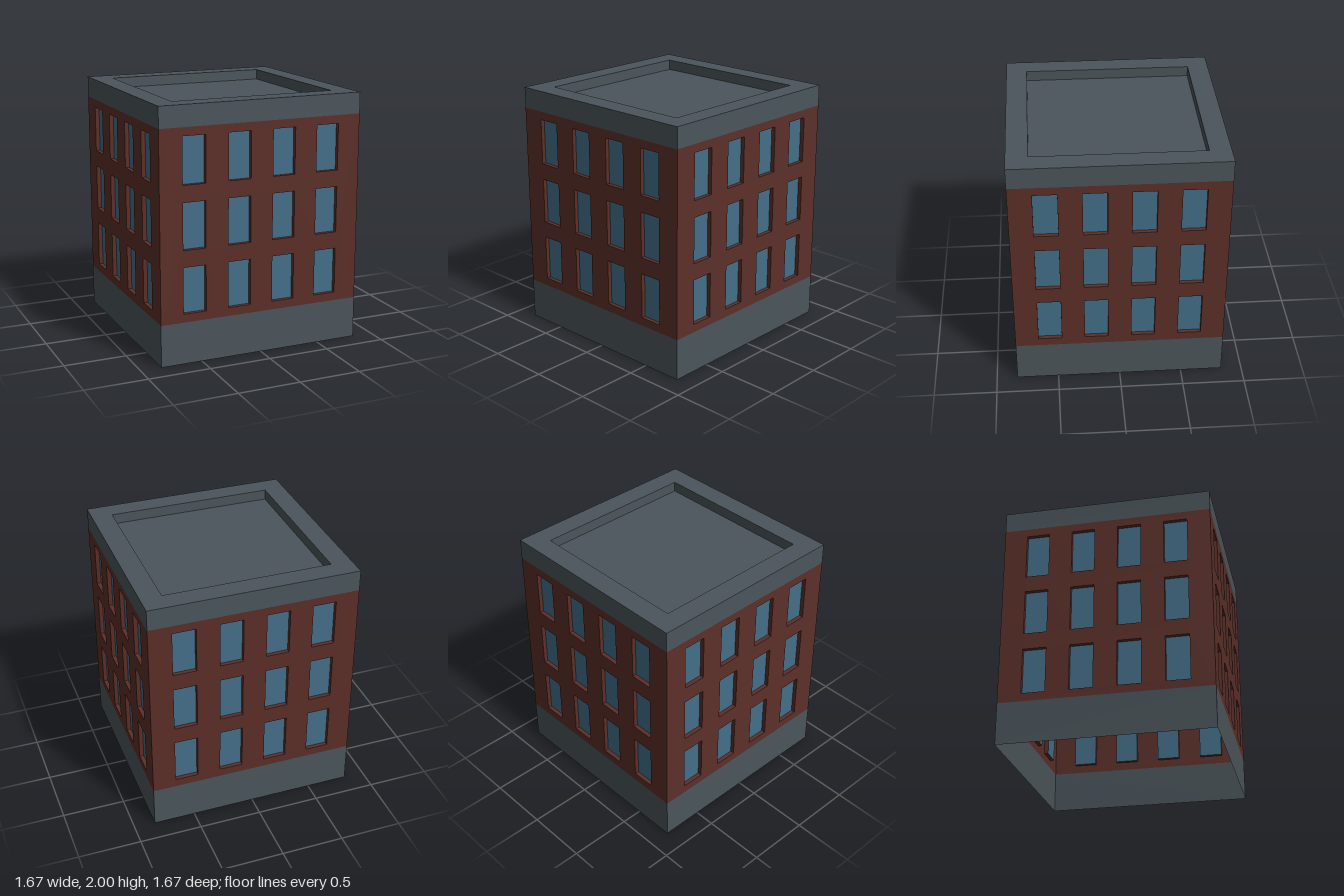
import * as THREE from 'three';
import { mergeGeometries } from 'three/addons/utils/BufferGeometryUtils.js';

const HALF = 5 / 6, BASE_TOP = 1 / 3, BAND_BOTTOM = 11 / 6, TOP = 2;
const RIM = 2 / 3, ROOF_Y = 23 / 12;              // sunken roof behind the parapet
const WIN_W = 5 / 27, WIN_H = 0.367, DEPTH = 1 / 30;
const Q = Math.PI / 2;

const material = (color) => new THREE.MeshStandardMaterial({ color, side: THREE.DoubleSide });

function plane(w, h, x, y, z, rx = 0, ry = 0) {
  return new THREE.PlaneGeometry(w, h).rotateX(rx).rotateY(ry).translate(x, y, z);
}

// Closed rectangle outline, for shapes and for holes
function rect(Type, x0, y0, x1, y1) {
  const r = new Type();
  r.moveTo(x0, y0).lineTo(x1, y0).lineTo(x1, y1).lineTo(x0, y1).closePath();
  return r;
}

function mesh(name, geometry, mat) {
  const m = new THREE.Mesh(geometry, mat);
  m.name = name;
  return m;
}

export function createModel() {
  const model = new THREE.Group();
  model.name = 'building';
  const stone = material(0x4b555b);
  const brick = material(0x5c2f28);
  const glass = material(0x446f8a);

  // One facade: brick wall with window openings, their reveals and recessed panes
  const wall = rect(THREE.Shape, -HALF, BASE_TOP, HALF, BAND_BOTTOM);
  const reveals = [], panes = [];
  const zMid = HALF - DEPTH / 2;
  for (let row = 0; row < 3; row++) {
    for (let col = 0; col < 4; col++) {
      const x = (col - 1.5) * 2 * WIN_W;
      const y = 0.4 + row * 0.5 + WIN_H / 2;
      const dx = WIN_W / 2, dy = WIN_H / 2;
      wall.holes.push(rect(THREE.Path, x - dx, y - dy, x + dx, y + dy));
      panes.push(plane(WIN_W, WIN_H, x, y, HALF - DEPTH));
      reveals.push(
        plane(DEPTH, WIN_H, x - dx, y, zMid, 0, Q),
        plane(DEPTH, WIN_H, x + dx, y, zMid, 0, -Q),
        plane(WIN_W, DEPTH, x, y - dy, zMid, -Q),
        plane(WIN_W, DEPTH, x, y + dy, zMid, Q)
      );
    }
  }
  const wallGeo = new THREE.ShapeGeometry(wall).translate(0, 0, HALF);
  const revealGeo = mergeGeometries(reveals);
  const paneGeo = mergeGeometries(panes);
  const baseGeo = plane(2 * HALF, BASE_TOP, 0, BASE_TOP / 2, HALF);
  const bandGeo = plane(2 * HALF, TOP - BAND_BOTTOM, 0, (TOP + BAND_BOTTOM) / 2, HALF);
  const lipGeo = plane(2 * RIM, TOP - ROOF_Y, 0, (TOP + ROOF_Y) / 2, -RIM);

  // Four identical sides
  ['front', 'left', 'back', 'right'].forEach((label, i) => {
    const side = new THREE.Group();
    side.name = label + 'Side';
    side.rotation.y = i * Q;
    side.add(
      mesh('brickWall', wallGeo, brick),
      mesh('windowReveals', revealGeo, brick),
      mesh('windowPanes', paneGeo, glass),
      mesh('baseBand', baseGeo, stone),
      mesh('parapetBand', bandGeo, stone),
      mesh('parapetInnerFace', lipGeo, stone)
    );
    model.add(side);
  });

  // Flat parapet top around the sunken roof
  const rim = rect(THREE.Shape, -HALF, -HALF, HALF, HALF);
  rim.holes.push(rect(THREE.Path, -RIM, -RIM, RIM, RIM));
  model.add(
    mesh('parapetTop', new THREE.ShapeGeometry(rim).rotateX(-Q).translate(0, TOP, 0), stone),
    mesh('roof', plane(2 * RIM, 2 * RIM, 0, ROOF_Y, 0, -Q), stone)
  );
  return model;
}
